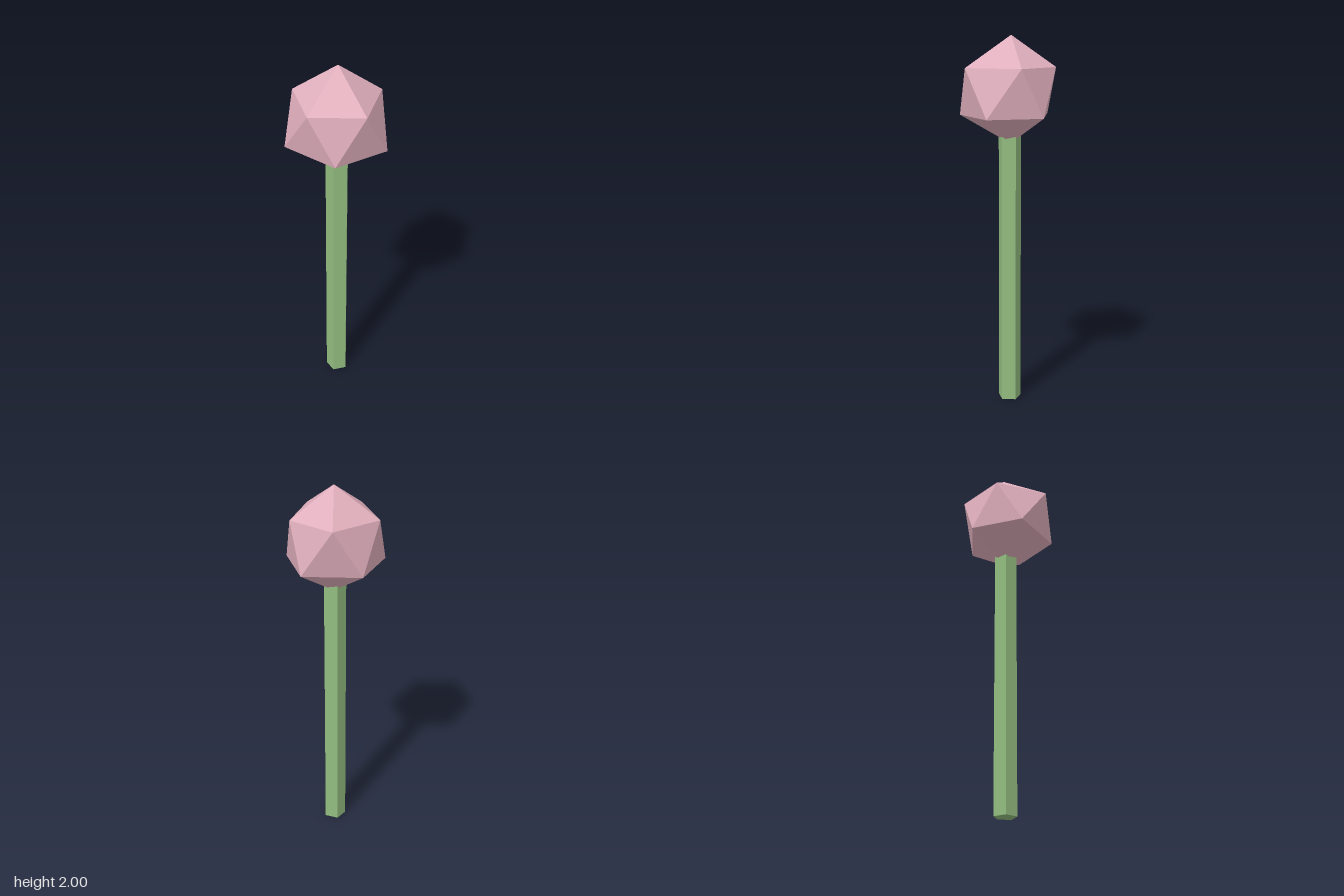
import * as THREE from 'three';

const pink = new THREE.MeshStandardMaterial({ color: 0xe0afbd });
pink.name = 'blossom pink';
const green = new THREE.MeshStandardMaterial({ color: 0x93bd80 });
green.name = 'stem green';

// Twenty-sided ball: two caps around a zigzag belt, slightly uneven
function ballGeometry() {
  const top = [0.024, 2, -0.019];
  const bottom = [0.024, 1.435, -0.015];
  const upper = [[0.252, -0.019], [0.095, -0.242], [-0.178, -0.141], [-0.178, 0.157], [0.095, 0.239]]
    .map(([x, z]) => [x, 1.837, z]);
  const lower = [[0.231, -0.141], [-0.061, -0.242], [-0.253, -0.019], [-0.061, 0.239], [0.231, 0.157]]
    .map(([x, z]) => [x, 1.585, z]);
  const corners = [];
  for (let i = 0; i < 5; i++) {
    const j = (i + 1) % 5;
    corners.push(top, upper[i], upper[j]);
    corners.push(upper[i], lower[i], upper[j]);
    corners.push(lower[i], lower[j], upper[j]);
    corners.push(lower[i], bottom, lower[j]);
  }
  const geometry = new THREE.BufferGeometry();
  geometry.setAttribute('position', new THREE.Float32BufferAttribute(corners.flat(), 3));
  geometry.computeVertexNormals(); // unshared corners give flat facets
  return geometry;
}

export function createModel() {
  const model = new THREE.Group();
  model.name = 'flower';

  // Five-sided stem with a flat face to the front
  const stemGeometry = new THREE.CylinderGeometry(0.063, 0.063, 1.5, 5).toNonIndexed();
  stemGeometry.computeVertexNormals();
  const stem = new THREE.Mesh(stemGeometry, green);
  stem.name = 'stem';
  stem.rotation.y = Math.PI;
  stem.position.set(0.022, 0.75, -0.012);
  model.add(stem);

  // Faceted flower head
  const blossom = new THREE.Mesh(ballGeometry(), pink);
  blossom.name = 'blossom';
  model.add(blossom);

  return model;
}
